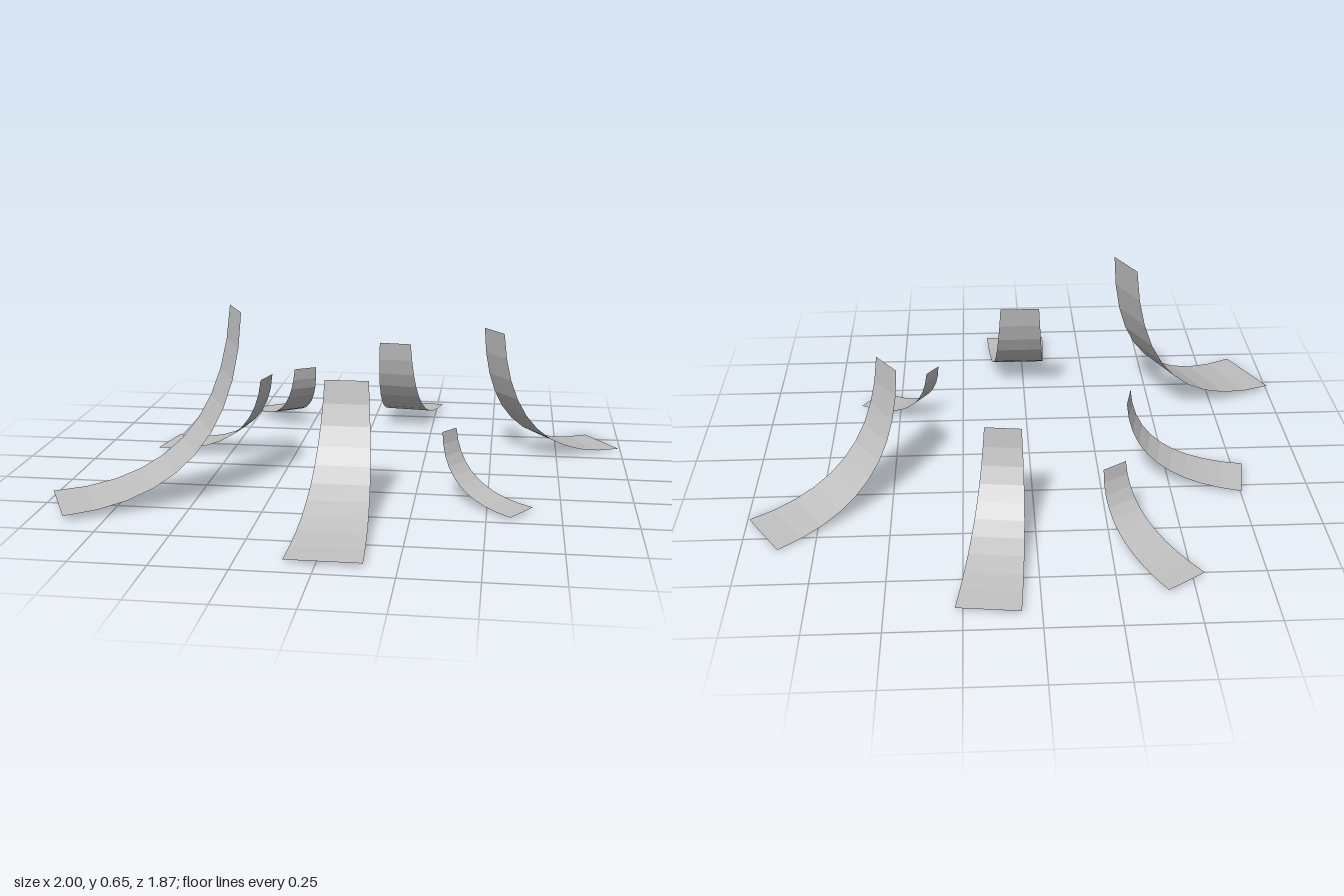
import * as THREE from 'three';

const SEGMENTS = 10;

// Each strip: inner-left, inner-right, outer-left, outer-right corners as [x, z],
// then the heights of its raised inner end and its low outer end.
const STRIPS = [
  { name: 'frontStrip', il: [-0.055, 0.36], ir: [0.095, 0.36], ol: [-0.1, 0.93], or: [0.145, 0.93], top: 0.43, low: 0.012 },
  { name: 'frontRightStrip', il: [-0.41, 0.205], ir: [-0.34, 0.345], ol: [-1.0, 0.435], or: [-0.88, 0.675], top: 0.65, low: 0.02 },
  { name: 'rightStrip', il: [-0.34, -0.18], ir: [-0.365, -0.075], ol: [-0.75, -0.31], or: [-0.785, -0.13], top: 0.31, low: 0.014 },
  { name: 'backRightStrip', il: [-0.225, -0.52], ir: [-0.305, -0.47], ol: [-0.41, -0.85], or: [-0.54, -0.765], top: 0.26, low: 0.012 },
  { name: 'backStrip', il: [0.17, -0.435], ir: [0.045, -0.45], ol: [0.275, -0.91], or: [0.065, -0.935], top: 0.385, low: 0.015 },
  { name: 'backLeftStrip', il: [0.54, -0.135], ir: [0.465, -0.24], ol: [0.995, -0.385], or: [0.875, -0.565], top: 0.5, low: 0 },
  { name: 'frontLeftStrip', il: [0.34, 0.27], ir: [0.385, 0.21], ol: [0.58, 0.475], or: [0.655, 0.365], top: 0.235, low: 0.01 },
];

const mix = (a, b, t) => a + (b - a) * t;

// A plane swept down and outwards along a quadratic curve, widening evenly
function stripGeometry({ il, ir, ol, or, top, low }) {
  const plane = new THREE.PlaneGeometry(1, 1, 1, SEGMENTS);
  const pos = plane.attributes.position;
  const mid = (a, b, k) => (a[k] + b[k]) / 2;
  for (let i = 0; i < pos.count; i++) {
    const side = pos.getX(i) * 2;
    const u = 0.5 - pos.getY(i);
    const out = 0.12 * u * (1 - u) + u * u;
    const at = (k) =>
      mix(mid(il, ir, k), mid(ol, or, k), out) +
      side * mix(ir[k] - il[k], or[k] - ol[k], u) / 2;
    pos.setXYZ(i, at(0), mix(low, top, (1 - u) * (1 - u)), at(1));
  }
  // Separate faces keep the bands flat
  const geometry = plane.toNonIndexed();
  geometry.computeVertexNormals();
  return geometry;
}

export function createModel() {
  const group = new THREE.Group();
  group.name = 'curvedStripRing';
  const grey = new THREE.MeshStandardMaterial({ color: 0xc0c0c0, side: THREE.DoubleSide });
  grey.name = 'lightGrey';

  for (const strip of STRIPS) {
    const mesh = new THREE.Mesh(stripGeometry(strip), grey);
    mesh.name = strip.name;
    group.add(mesh);
  }
  return group;
}
